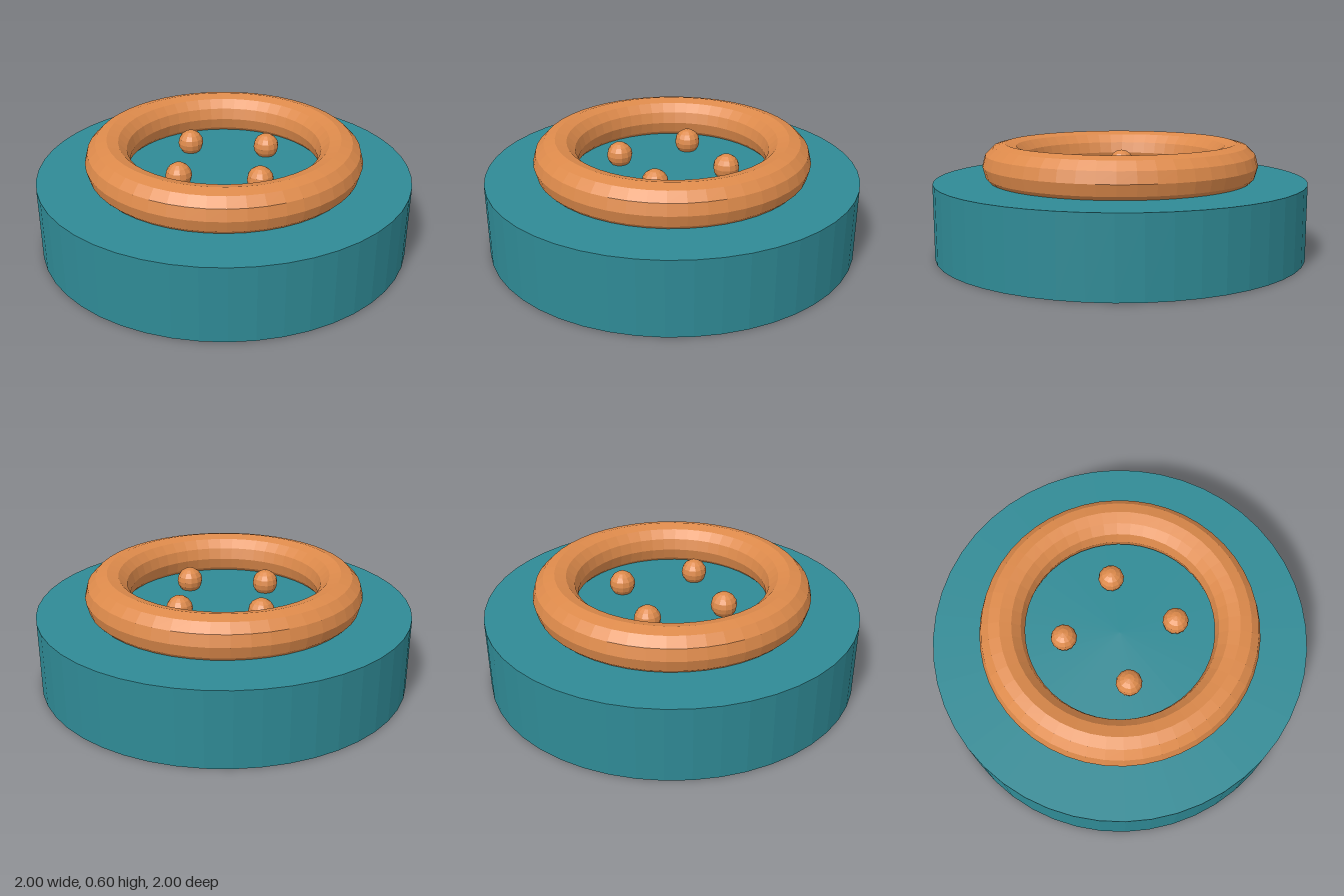
import * as THREE from 'three';

export function createModel() {
  const model = new THREE.Group();
  const teal = new THREE.MeshStandardMaterial({ name: 'teal', color: 0x2f8a95, flatShading: true });
  const orange = new THREE.MeshStandardMaterial({ name: 'orange', color: 0xdd8a4b, flatShading: true });

  function add(name, geometry, material, x, y, z) {
    const mesh = new THREE.Mesh(geometry, material);
    mesh.name = name;
    mesh.position.set(x, y, z);
    model.add(mesh);
    return mesh;
  }

  // Round base standing on the ground
  add('base', new THREE.CylinderGeometry(1, 1, 0.4, 48), teal, 0, 0.2, 0);

  // Ring lying on the base
  const ring = new THREE.TorusGeometry(0.62, 0.12, 12, 48).rotateX(-Math.PI / 2);
  add('ring', ring, orange, 0, 0.48, 0);

  // Four studs inside the ring, slightly sunk into the base
  const stud = new THREE.SphereGeometry(0.07, 12, 8);
  for (let i = 0; i < 4; i++) {
    const a = (i * Math.PI) / 2;
    add(`stud${i + 1}`, stud, orange, 0.3 * Math.cos(a), 0.45, 0.3 * Math.sin(a));
  }

  return model;
}
